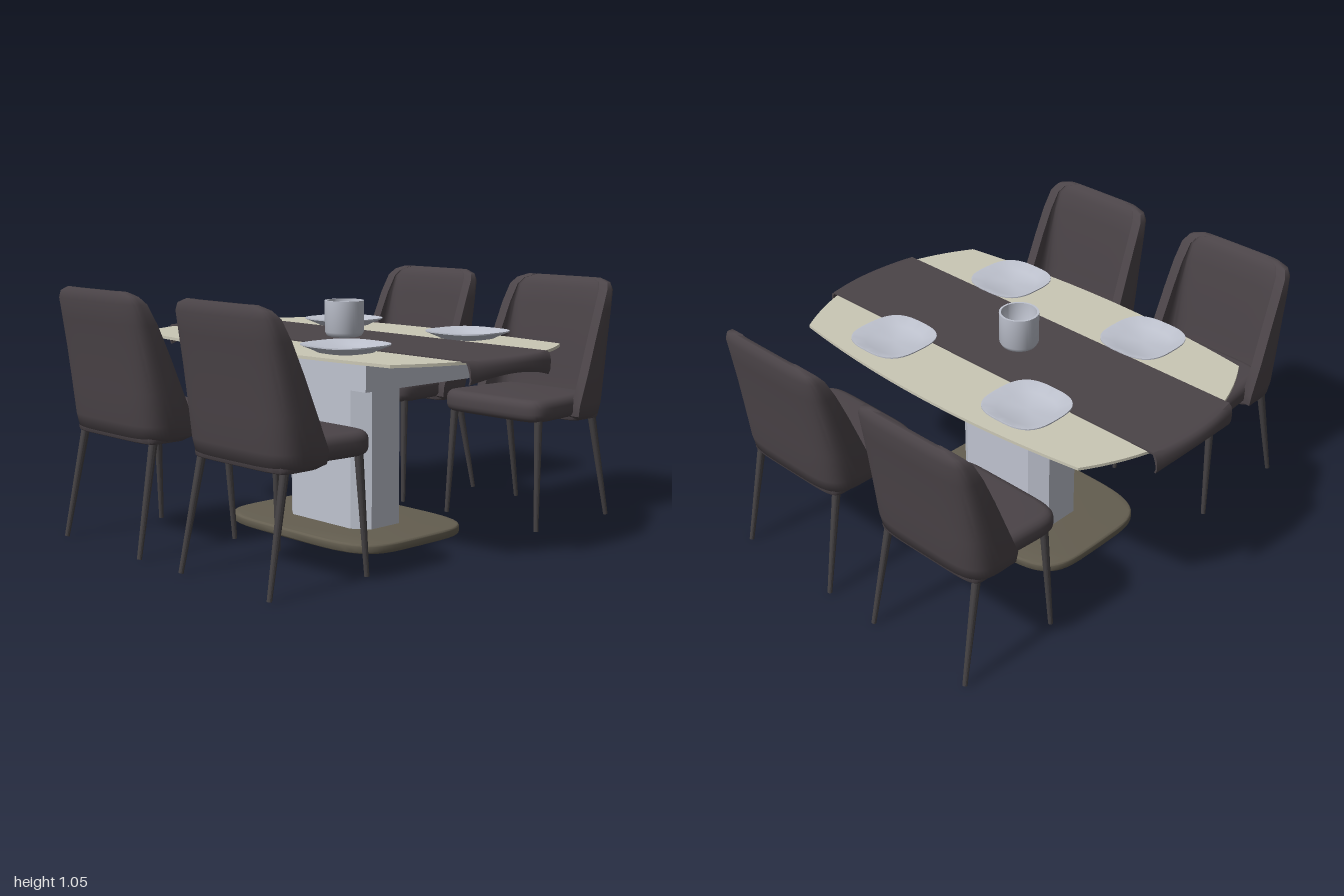
import * as THREE from 'three';
import { toCreasedNormals } from 'three/addons/utils/BufferGeometryUtils.js';

const mat = (name, color) => new THREE.MeshStandardMaterial({ name, color });

// Closed surface through rows of equal loops; each loop is an outer edge followed by its inner edge reversed
function loftShell(rows) {
  const n = rows[0].length, pos = rows.flat(2), idx = [];
  const quad = (a, b, c, d) => idx.push(a, b, c, a, c, d);
  for (let r = 0; r < rows.length - 1; r++)
    for (let i = 0; i < n; i++) {
      const j = (i + 1) % n;
      quad(r * n + i, r * n + j, (r + 1) * n + j, (r + 1) * n + i);
    }
  const top = (rows.length - 1) * n;
  for (let i = 0; i < n / 2 - 1; i++) {
    quad(i + 1, i, n - 1 - i, n - 2 - i);
    quad(top + i, top + i + 1, top + n - 2 - i, top + n - 1 - i);
  }
  // Turn the faces outward if the signed volume is negative
  const p = k => new THREE.Vector3().fromArray(pos, k * 3);
  let volume = 0;
  for (let i = 0; i < idx.length; i += 3)
    volume += p(idx[i]).dot(p(idx[i + 1]).cross(p(idx[i + 2])));
  if (volume < 0) idx.reverse();
  const g = new THREE.BufferGeometry();
  g.setAttribute('position', new THREE.Float32BufferAttribute(pos, 3));
  g.setIndex(idx);
  return g;
}

const signedPow = (v, e) => Math.sign(v) * Math.pow(Math.abs(v), e);

// Rounded-rectangle outline; taper narrows it toward +x
function superellipse(a, b, n, taper = 0) {
  const pts = [];
  for (let i = 0; i < 64; i++) {
    const t = (i / 64) * Math.PI * 2;
    const x = signedPow(Math.cos(t), 2 / n);
    pts.push(new THREE.Vector2(a * x, b * signedPow(Math.sin(t), 2 / n) * (1 - taper * x)));
  }
  return new THREE.Shape(pts);
}

// Horizontal slab from y0 to y1 with rounded edges
function slab(shape, y0, y1, bevel = 0) {
  const g = new THREE.ExtrudeGeometry(shape, {
    depth: y1 - y0 - 2 * bevel, bevelEnabled: bevel > 0, bevelThickness: bevel,
    bevelSize: bevel, bevelOffset: -bevel, bevelSegments: 4, curveSegments: 24,
  });
  return g.rotateX(-Math.PI / 2).translate(0, y0 + bevel, 0);
}

export function createModel() {
  const model = new THREE.Group();
  model.name = 'diningSet';
  const fabric = mat('darkUpholstery', 0x4b4448);
  const legMat = mat('darkLegs', 0x434042);
  const cream = mat('creamTop', 0xcac7b5);
  const grey = mat('paleGrey', 0xbfc3cf);
  const baseMat = mat('oliveBase', 0x645e50);

  const add = (parent, name, geo, material, crease = 0.6) => {
    const m = new THREE.Mesh(toCreasedNormals(geo, crease), material);
    m.name = name;
    parent.add(m);
    return m;
  };

  // Table: foot plate, eight-sided pedestal, beam and boat-shaped top
  const table = new THREE.Group();
  table.name = 'table';
  model.add(table);
  add(table, 'footPlate', slab(superellipse(0.33, 0.47, 4.5), 0, 0.04, 0.01), baseMat);
  const octagon = [[0.08, 0.25], [0.135, 0.18], [0.135, -0.18], [0.08, -0.25],
    [-0.08, -0.25], [-0.135, -0.18], [-0.135, 0.18], [-0.08, 0.25]];
  add(table, 'pedestal', slab(new THREE.Shape(octagon.map(p => new THREE.Vector2(...p))), 0.04, 0.665), grey, 0.3);
  add(table, 'beam', new THREE.BoxGeometry(0.66, 0.14, 0.94).translate(0, 0.732, 0), grey);
  const topShape = new THREE.Shape();
  topShape.moveTo(0.49, -0.76);
  topShape.quadraticCurveTo(0.61, 0, 0.49, 0.76);
  topShape.quadraticCurveTo(0, 1.06, -0.49, 0.76);
  topShape.quadraticCurveTo(-0.61, 0, -0.49, -0.76);
  topShape.quadraticCurveTo(0, -1.06, 0.49, -0.76);
  add(table, 'tableTop', slab(topShape, 0.8, 0.812), cream);

  // Runner: bowed ends folded down over the edge of the table
  const fold = [[0.925, 0], [0.938, 0.008], [0.945, 0.025], [0.945, 0.05], [0.938, 0.062]];
  const half = [[0, 0], [0.45, 0], [0.9, 0], ...fold];
  const path = [...half.slice(1).reverse().map(([z, d]) => [-z, d]), ...half];
  const runnerRows = [];
  for (let i = 0; i <= 16; i++) {
    const u = i / 8 - 1;
    const edge = inset => path.map(([z, d]) => [
      u * (0.235 - d * 0.12),
      0.817 - d * (1 + 0.45 * u * u) - (d < 0.03 ? inset : 0),
      z - Math.sign(z) * (Math.abs(z) > 0.5 ? 0.025 * u * u + (d > 0 ? inset : 0) : 0),
    ]);
    runnerRows.push([...edge(0), ...edge(0.008).reverse()]);
  }
  add(table, 'runner', loftShell(runnerRows), fabric, 0.7);

  // Chair, facing -x, at its place on the +x side
  const chair = new THREE.Group();
  chair.name = 'chair';
  // Wrap-around back: height, wing front, rear, half width
  const backRows = [
    [0.45, 0.76, 0.9, 0.26], [0.47, 0.728, 0.933, 0.287], [0.52, 0.725, 0.943, 0.295],
    [0.65, 0.777, 0.955, 0.293], [0.8, 0.835, 0.972, 0.287], [0.92, 0.885, 0.988, 0.281],
    [1.0, 0.925, 1.0, 0.272], [1.03, 0.95, 0.996, 0.252], [1.047, 0.966, 0.986, 0.2],
  ].map(([y, front, rear, w]) => {
    const arc = (depth, width) => Array.from({ length: 29 }, (_, i) => {
      const a = (i / 28 - 0.5) * Math.PI;
      return [front + depth * Math.pow(Math.max(0, Math.cos(a)), 0.4), y, width * signedPow(Math.sin(a), 0.4)];
    });
    return [...arc(rear - front, w), ...arc(Math.max(0.005, rear - front - 0.06), w - 0.045).reverse()];
  });
  add(chair, 'backrest', loftShell(backRows), fabric, 0.9);
  add(chair, 'seatPan', slab(superellipse(0.1, 0.265, 6), 0.448, 0.49, 0.01).translate(0.825, 0, 0), fabric);
  add(chair, 'seat', slab(superellipse(0.225, 0.262, 6, 0.07), 0.465, 0.56, 0.035).translate(0.683, 0, 0), fabric, 0.8);

  // Tapered splayed legs
  const leg = (name, from, to) => {
    const a = new THREE.Vector3(...from), b = new THREE.Vector3(...to);
    const m = add(chair, name, new THREE.CylinderGeometry(0.018, 0.01, a.distanceTo(b), 12), legMat);
    m.position.copy(a).add(b).multiplyScalar(0.5);
    m.quaternion.setFromUnitVectors(new THREE.Vector3(0, 1, 0), a.sub(b).normalize());
  };
  for (const s of [-1, 1]) {
    leg('frontLeg', [0.522, 0.49, 0.235 * s], [0.497, 0.004, 0.255 * s]);
    leg('backLeg', [0.88, 0.48, 0.235 * s], [0.978, 0.004, 0.257 * s]);
  }
  for (const turn of [0, Math.PI])
    for (const z of [0.395, -0.388]) {
      const c = chair.clone();
      c.rotation.y = turn;
      c.position.z = z;
      model.add(c);
    }

  // Turned tableware
  const lathe = pts => new THREE.LatheGeometry(pts.map(p => new THREE.Vector2(...p)), 48);
  const plateGeo = lathe([[0, 0.815], [0.098, 0.815], [0.108, 0.821], [0.157, 0.843],
    [0.157, 0.848], [0.15, 0.848], [0.105, 0.829], [0, 0.825]]);
  // Push the round plate into a soft square
  const pp = plateGeo.attributes.position;
  for (let i = 0; i < pp.count; i++) {
    const x = pp.getX(i), z = pp.getZ(i), r = Math.hypot(x, z) || 1;
    const k = Math.pow(Math.abs(x / r) ** 3 + Math.abs(z / r) ** 3, -1 / 3);
    if (r < 1) pp.setXYZ(i, x * k, pp.getY(i), z * k);
  }
  for (const x of [-0.355, 0.345])
    for (const z of [-0.368, 0.385]) add(model, 'plate', plateGeo, grey).position.set(x, 0, z);
  add(model, 'cup', lathe([[0, 0.817], [0.058, 0.817], [0.074, 0.823], [0.082, 0.838], [0.083, 0.97],
    [0.074, 0.97], [0.073, 0.855], [0.055, 0.835], [0, 0.832]]), grey, 0.8);

  return model;
}
